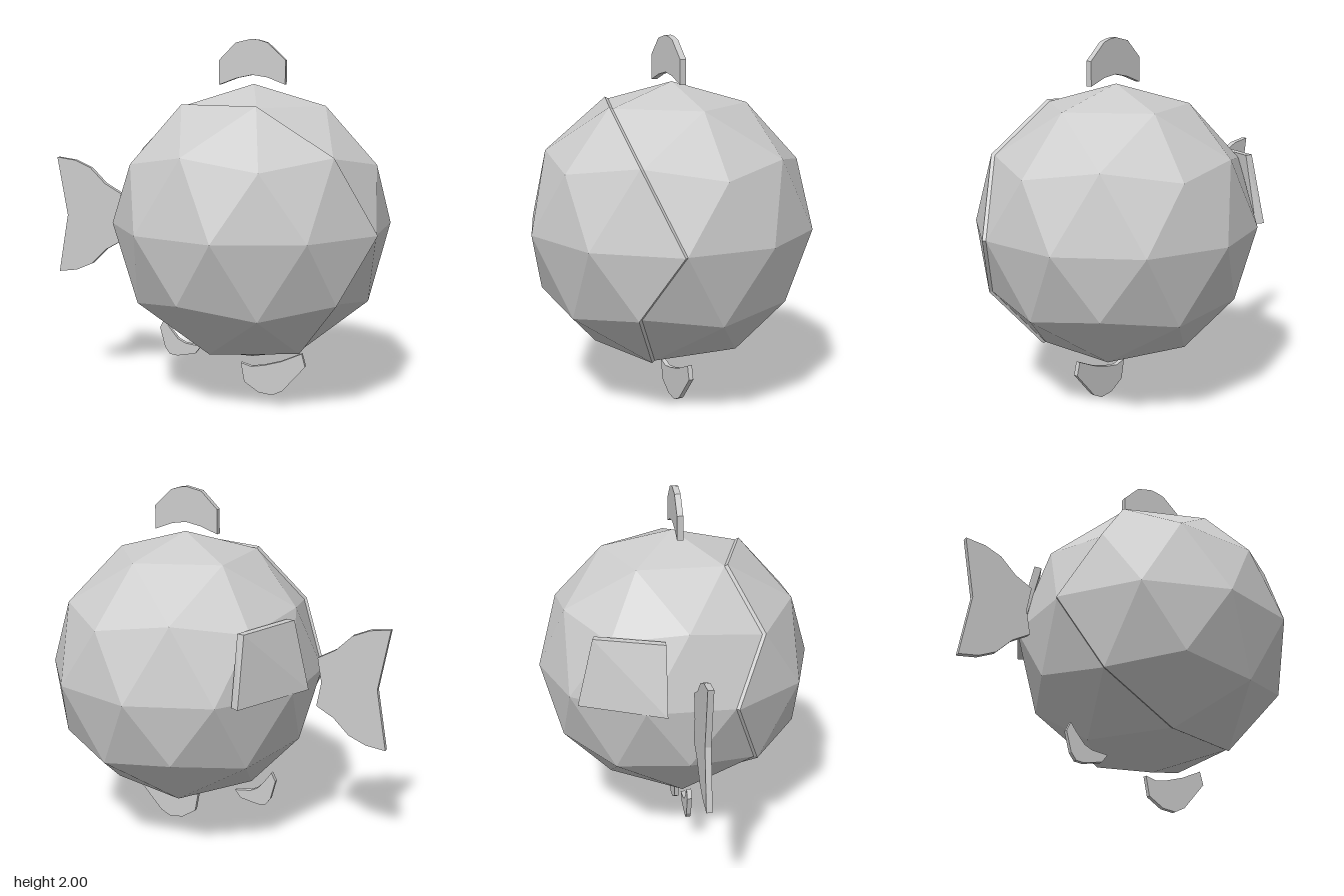
import * as THREE from 'three';
import { ConvexGeometry } from 'three/addons/geometries/ConvexGeometry.js';

const CENTER = new THREE.Vector3(0.215, 0.983, -0.013);
const RADIUS = 0.772;

export function createModel() {
  const group = new THREE.Group();
  const material = new THREE.MeshStandardMaterial({ color: 0xcccccc, flatShading: true });

  const add = (name, geometry, position) => {
    const mesh = new THREE.Mesh(geometry, material);
    mesh.name = name;
    if (position) mesh.position.copy(position);
    group.add(mesh);
  };

  // Faceted round body, one icosahedron corner turned straight up
  const body = new THREE.IcosahedronGeometry(RADIUS, 1);
  body.rotateZ(-Math.atan2(1, (1 + Math.sqrt(5)) / 2));
  add('body', body, CENTER);

  // Raised shell over the front facets, with a rim along its zigzag border
  add('frontShell', shellGeometry(body), CENTER);

  // Flat fins outlined in x and y
  const fin = (name, points, depth) => {
    const shape = new THREE.Shape(points.map(([x, y]) => new THREE.Vector2(x, y)));
    const geometry = new THREE.ExtrudeGeometry(shape, { depth, bevelEnabled: false });
    geometry.translate(0, 0, 0.006 - depth / 2);
    add(name, geometry);
  };

  // Tail: upper half outline, mirrored about the body's mid height
  const tailMid = 0.981;
  const tailTop = [[-0.595, 0], [-0.57, 0.138], [-0.67, 0.194], [-0.76, 0.283], [-0.857, 0.325], [-0.97, 0.34]];
  const tail = [
    ...tailTop.map(([x, y]) => [x, tailMid + y]),
    [-0.91, tailMid],
    ...tailTop.slice(1).reverse().map(([x, y]) => [x, tailMid - y]),
  ];
  fin('tailFin', tail, 0.032);

  fin('topFin', [
    [0.025, 1.75], [0.125, 1.787], [0.215, 1.805], [0.3, 1.792], [0.402, 1.753],
    [0.402, 1.885], [0.3, 1.98], [0.25, 1.995], [0.21, 2], [0.12, 1.98], [0.025, 1.885],
  ], 0.034);

  fin('bottomFin', [
    [0.155, 0.175], [0.175, 0.065], [0.26, 0.01], [0.34, 0], [0.4, 0.03],
    [0.53, 0.18], [0.51, 0.255], [0.39, 0.2], [0.29, 0.17], [0.215, 0.158],
  ], 0.026);

  fin('smallBottomFin', [
    [-0.31, 0.395], [-0.335, 0.345], [-0.305, 0.23], [-0.275, 0.19], [-0.23, 0.184],
    [-0.12, 0.205], [-0.085, 0.25], [-0.18, 0.262], [-0.225, 0.285], [-0.275, 0.345],
  ], 0.026);

  // Tapered plate on the rear side of the body
  add('sidePlate', new ConvexGeometry([
    [-0.57, 0.98, -0.145], [-0.35, 0.98, -0.6], [-0.345, 1.355, -0.51], [-0.48, 1.355, -0.14],
    [-0.53, 0.98, -0.14], [-0.305, 0.98, -0.575], [-0.305, 1.355, -0.5], [-0.435, 1.355, -0.14],
  ].map((p) => new THREE.Vector3(...p))));

  return group;
}

// Lifts the front facets outward and forward, then closes the open border
function shellGeometry(source) {
  const pos = source.attributes.position;
  const lift = (v) => v.clone().multiplyScalar(1.015).add(new THREE.Vector3(0, 0, 0.013));
  const key = (v) => v.toArray().map((n) => Math.round(n * 1000)).join();
  const vertices = [];
  const edges = new Map();

  for (let i = 0; i < pos.count; i += 3) {
    const tri = [0, 1, 2].map((k) => new THREE.Vector3().fromBufferAttribute(pos, i + k));
    if (tri.some((v) => v.z < 0.2)) continue;
    vertices.push(...tri.map(lift));
    tri.forEach((a, k) => {
      const b = tri[(k + 1) % 3];
      edges.set(key(a) + '|' + key(b), [a, b]);
    });
  }

  // An edge with no reversed twin lies on the border
  for (const [a, b] of edges.values()) {
    if (edges.has(key(b) + '|' + key(a))) continue;
    vertices.push(a, b, lift(b), a, lift(b), lift(a));
  }

  const geometry = new THREE.BufferGeometry().setFromPoints(vertices);
  geometry.computeVertexNormals();
  return geometry;
}
